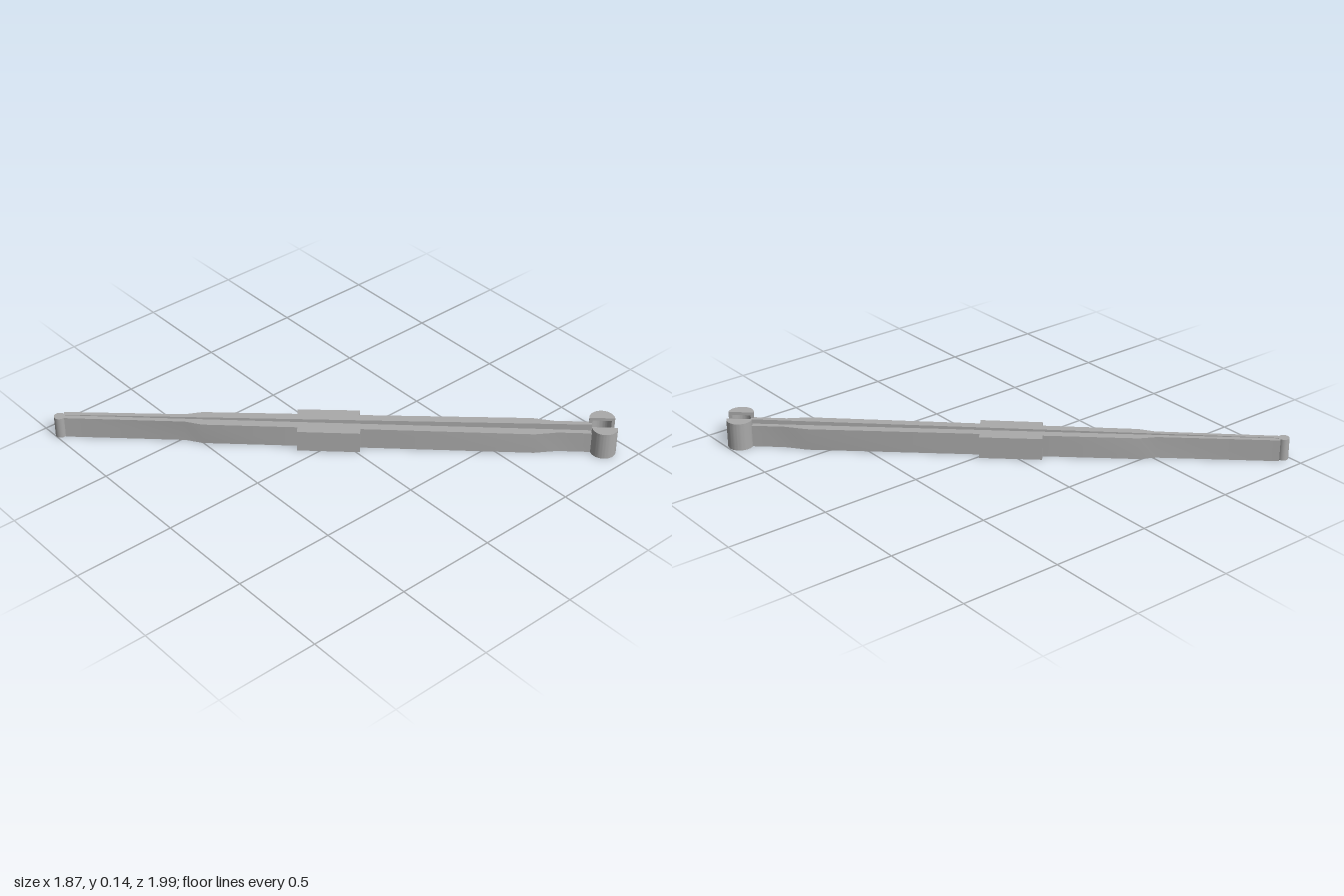
import * as THREE from 'three';
import { toCreasedNormals } from 'three/addons/utils/BufferGeometryUtils.js';

const ARM_HEIGHT = 0.108;
const JAW_HEIGHT = 0.137;
const JAW_RADIUS = 0.061;
const WALL = 0.015;

// Arm plan: distance along the arm, distance outward from its straight inner edge
const ARM_PLAN = [
  [0, 0], [2.505, 0], [2.505, 0.025],                // thin neck at the jaw
  [2.335, 0.025], [2.225, 0.045],                    // taper to full thickness
  [1.407, 0.043], [1.407, 0.08], [1.11, 0.08], [1.11, 0.043], // finger grip
  [0.658, 0.043], [0.575, 0.023], [0, 0.023],        // taper to the thin spring end
];

// Points on the half circle of a jaw
function arc(radius, segments = 28) {
  return Array.from({ length: segments + 1 }, (_, i) => {
    const a = (i / segments) * Math.PI;
    return [2.552 + radius * Math.cos(a), 0.014 + radius * Math.sin(a)];
  });
}

export function createModel() {
  const model = new THREE.Group();
  model.name = 'tweezers';
  const metal = new THREE.MeshStandardMaterial({ color: 0xaaaaaa });
  metal.name = 'grey metal';

  // Upright prism over a plan outline, placed by a mapping to the ground plane
  function prism(name, plan, place, y0, y1, parent) {
    const shape = new THREE.Shape(plan.map(([t, n]) => {
      const [x, z] = place(t, n);
      return new THREE.Vector2(x, -z);
    }));
    const geometry = new THREE.ExtrudeGeometry(shape, { depth: y1 - y0, bevelEnabled: false });
    geometry.rotateX(-Math.PI / 2).translate(0, y0, 0);
    const mesh = new THREE.Mesh(toCreasedNormals(geometry, 0.3), metal);
    mesh.name = name;
    parent.add(mesh);
  }

  // Each side: start and end of the inner edge (x, z), and which way is outward
  const sides = [
    { name: 'left', start: [-0.897, 0.95], end: [0.826, -0.86], out: 1 },
    { name: 'right', start: [-0.905, 0.952], end: [0.794, -0.892], out: -1 },
  ];
  for (const { name, start, end, out } of sides) {
    const dir = new THREE.Vector2(end[0] - start[0], end[1] - start[1]).normalize();
    const place = (t, n) => [
      start[0] + dir.x * t - dir.y * n * out,
      start[1] + dir.y * t + dir.x * n * out,
    ];
    prism(name + 'Arm', ARM_PLAN, place, 0, ARM_HEIGHT, model);

    // Hollow half-round jaw, open towards the other arm
    const jaw = new THREE.Group();
    jaw.name = name + 'Jaw';
    model.add(jaw);
    const outer = arc(JAW_RADIUS);
    const inner = arc(JAW_RADIUS - WALL).reverse();
    prism('jawFloor', outer, place, 0, WALL, jaw);
    prism('jawWall', [...outer, ...inner], place, WALL, JAW_HEIGHT - WALL, jaw);
    prism('jawTop', outer, place, JAW_HEIGHT - WALL, JAW_HEIGHT, jaw);
  }

  // Rounded end joining both arms
  const joint = new THREE.Mesh(new THREE.CylinderGeometry(0.0265, 0.0265, ARM_HEIGHT, 32), metal);
  joint.name = 'springJoint';
  joint.position.set(-0.909, ARM_HEIGHT / 2, 0.973);
  model.add(joint);

  return model;
}
